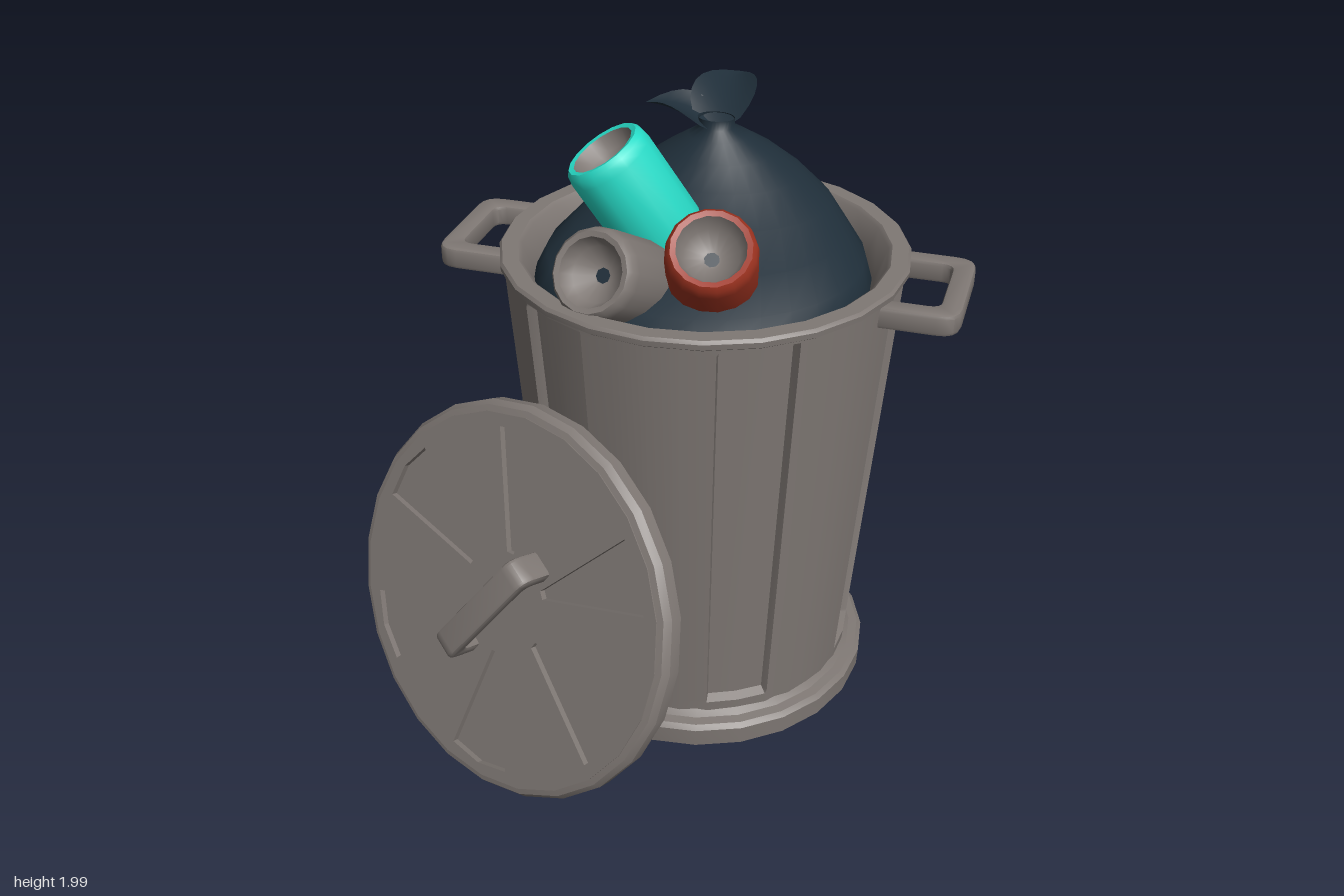
import * as THREE from 'three';
import { toCreasedNormals } from 'three/addons/utils/BufferGeometryUtils.js';

const material = (name, color) => Object.assign(new THREE.MeshStandardMaterial({ color }), { name });
const rad = THREE.MathUtils.degToRad;
const Y = new THREE.Vector3(0, 1, 0);
const Z = new THREE.Vector3(0, 0, 1);

function add(parent, name, geometry, mat) {
  const mesh = new THREE.Mesh(geometry, mat);
  mesh.name = name;
  parent.add(mesh);
  return mesh;
}

function lathe(points, sides, crease = 35) {
  const g = new THREE.LatheGeometry(points.map(p => new THREE.Vector2(...p)), sides);
  return toCreasedNormals(g, rad(crease));
}

// Grid of quads; fn(column, row) returns a point
function surface(cols, rows, fn, crease) {
  const pos = [], index = [];
  for (let j = 0; j <= rows; j++) for (let i = 0; i <= cols; i++) pos.push(...fn(i, j));
  for (let j = 0; j < rows; j++) for (let i = 0; i < cols; i++) {
    const a = j * (cols + 1) + i, d = a + cols + 1;
    index.push(a, a + 1, d + 1, a, d + 1, d);
  }
  const g = new THREE.BufferGeometry();
  g.setAttribute('position', new THREE.Float32BufferAttribute(pos, 3));
  g.setIndex(index);
  return toCreasedNormals(g, rad(crease));
}

// U-shaped grip in the xy plane, legs ending at y = 0, centred on z
function bracket(w, h, t, depth, corner) {
  const s = new THREE.Shape(), o = w / 2, i = o - t, c = corner, k = corner * 0.5;
  s.moveTo(-o, 0);
  s.lineTo(-i, 0);
  s.lineTo(-i, h - t - k);
  s.quadraticCurveTo(-i, h - t, -i + k, h - t);
  s.lineTo(i - k, h - t);
  s.quadraticCurveTo(i, h - t, i, h - t - k);
  s.lineTo(i, 0);
  s.lineTo(o, 0);
  s.lineTo(o, h - c);
  s.quadraticCurveTo(o, h, o - c, h);
  s.lineTo(-o + c, h);
  s.quadraticCurveTo(-o, h, -o, h - c);
  const b = 0.012;
  const g = new THREE.ExtrudeGeometry(s, {
    depth: depth - 2 * b, bevelSize: b, bevelThickness: b, bevelOffset: -b, bevelSegments: 2, curveSegments: 4,
  });
  g.translate(0, 0, b - depth / 2);
  return toCreasedNormals(g, rad(35)).rotateX(Math.PI / 2);
}

export function createModel() {
  const metal = material('grey metal', 0x7f7874);
  const plastic = material('dark bag plastic', 0x1f2e39);
  const teal = material('teal paint', 0x27dcc8);
  const red = material('red paint', 0x9e3320);
  const blue = material('blue label', 0x6c9ae6);
  const gold = material('gold label', 0xb98c2c);
  plastic.side = blue.side = gold.side = THREE.DoubleSide;

  const model = new THREE.Group();
  model.name = 'trashCan';
  const bin = new THREE.Group();
  bin.name = 'bin';
  bin.position.set(0.09, 0, -0.235);
  model.add(bin);

  // Tapered wall with six recessed panels
  const offsets = [-30, -21, -11.3, -10.6, 0, 10.6, 11.3, 21];
  const heights = [0.08, 0.15, 0.165, 1.54, 1.555, 1.57];
  const wall = surface(48, heights.length - 1, (i, j) => {
    const k = i % 8, a = rad(30 + 60 * Math.floor(i / 8) + offsets[k]), y = heights[j];
    const inside = k > 2 && k < 6 && (j === 2 || j === 3);
    const r = 0.53 + 0.072 * (y - 0.08) - (inside ? 0.03 : 0);
    return [r * Math.sin(a), y, r * Math.cos(a)];
  }, 32);
  add(bin, 'wall', wall, metal);

  add(bin, 'rimAndLining', lathe([[0.63, 1.555], [0.648, 1.567], [0.65, 1.585], [0.642, 1.595],
    [0.59, 1.595], [0.578, 1.585], [0.54, 1.48], [0.52, 1.2], [0, 1.2]], 24), metal);
  add(bin, 'baseRing', lathe([[0, 0], [0.58, 0], [0.592, 0.01], [0.595, 0.075], [0.58, 0.09],
    [0.55, 0.095], [0.53, 0.12]], 24), metal);
  for (const side of [-1, 1]) {
    const grip = add(bin, side > 0 ? 'leftHandle' : 'rightHandle', bracket(0.425, 0.255, 0.068, 0.07, 0.07), metal);
    grip.rotation.y = side * Math.PI / 2;
    grip.position.set(side * 0.58, 1.525, 0);
  }

  // Stuffed bag: rings of [y, centre z, radius x, radius z]
  const rings = [[1.3, -0.24, 0.52, 0.52], [1.49, -0.245, 0.537, 0.537], [1.55, -0.29, 0.51, 0.49],
    [1.61, -0.365, 0.445, 0.405], [1.68, -0.445, 0.37, 0.31], [1.75, -0.49, 0.27, 0.23],
    [1.81, -0.5, 0.18, 0.16], [1.86, -0.49, 0.1, 0.095], [1.89, -0.48, 0.055, 0.055], [1.92, -0.475, 0.06, 0.045]];
  add(model, 'bag', surface(32, rings.length - 1, (i, j) => {
    const a = (i / 32) * Math.PI * 2, [y, cz, rx, rz] = rings[j];
    return [0.085 - 0.03 * j / 9 + rx * Math.sin(a), y, cz + rz * Math.cos(a)];
  }, 80), plastic);

  // Two curled ears of the knot
  function ear(name, from, mid, to, half) {
    const path = new THREE.QuadraticBezierCurve3(...[from, mid, to].map(p => new THREE.Vector3(...p)));
    const across = new THREE.Vector3(to[2] - from[2], 0, from[0] - to[0]).normalize();
    add(model, name, surface(6, 8, (i, j) => {
      const t = j / 8, v = i / 3 - 1, p = path.getPoint(t);
      const w = 0.025 * (1 - t) + half * Math.sin(Math.PI * Math.pow(t, 0.85)) ** 0.7;
      p.addScaledVector(across, v * w);
      return [p.x, p.y + 0.035 * v * v * Math.sin(Math.PI * t), p.z];
    }, 80), plastic);
  }
  ear('backEar', [0.05, 1.88, -0.46], [0.05, 1.98, -0.6], [0.05, 1.965, -0.79], 0.09);
  ear('sideEar', [0.06, 1.88, -0.47], [-0.06, 1.95, -0.49], [-0.19, 1.93, -0.51], 0.07);

  // Empty tins: open end, axis pointing out of it, and a label facing a given direction
  function tin(name, top, axis, length, paint, label, facing, span, from, to) {
    const tinGroup = new THREE.Group();
    tinGroup.name = name;
    const dir = new THREE.Vector3(...axis).normalize();
    tinGroup.quaternion.setFromUnitVectors(Y, dir);
    tinGroup.position.set(...top).addScaledVector(dir, -length);
    model.add(tinGroup);
    const L = length;
    add(tinGroup, 'shell', lathe([[0, 0], [0.1, 0], [0.132, 0.03], [0.14, 0.06], [0.14, L - 0.045],
      [0.134, L - 0.015], [0.122, L], [0.105, L - 0.003]], 16, 50), paint);
    add(tinGroup, 'inside', lathe([[0.105, L - 0.003], [0.085, L - 0.05], [0.03, L - 0.085], [0, L - 0.085]], 16, 50), metal);
    const hole = add(tinGroup, 'opening', new THREE.CircleGeometry(0.024, 8), plastic);
    hole.rotation.x = -Math.PI / 2;
    hole.position.y = L - 0.082;
    const f = new THREE.Vector3(...facing).applyQuaternion(tinGroup.quaternion.clone().invert());
    const patch = new THREE.CylinderGeometry(0.144, 0.144, to - from, 8, 1, true,
      Math.atan2(f.x, f.z) - rad(span / 2), rad(span));
    add(tinGroup, 'label', patch, label).position.y = (from + to) / 2;
  }
  tin('tealTin', [-0.2, 1.925, -0.1], [-0.5, 0.84, 0.2], 0.4, teal, gold, [-0.35, -0.1, -1], 60, 0.1, 0.25);
  tin('greyTin', [-0.115, 1.7, 0.27], [-0.2, 0.5, 0.84], 0.4, metal, plastic, [-0.7, 0.8, 0], 70, 0.08, 0.22);
  tin('redTin', [0.212, 1.762, 0.14], [0.14, 0.74, 0.62], 0.38, red, blue, [-0.6, 0.4, -0.7], 60, 0.08, 0.25);

  // Lid leaning against the bin
  const lid = new THREE.Group();
  lid.name = 'lid';
  lid.position.set(-0.31, 0.655, 0.535);
  lid.quaternion.setFromUnitVectors(Z, new THREE.Vector3(-0.36, 0.3, 0.883).normalize());
  model.add(lid);
  add(lid, 'lidPlate', lathe([[0, -0.03], [0.54, -0.03], [0.56, -0.05], [0.62, -0.05], [0.638, -0.035],
    [0.64, 0.01], [0.625, 0.032], [0.6, 0.038], [0.59, 0.02], [0, 0.02]], 24).rotateX(Math.PI / 2), metal);

  // Raised face with six wedge-shaped recesses
  const polar = (r, a) => new THREE.Vector2(r * Math.cos(a), r * Math.sin(a));
  const face = new THREE.Shape(Array.from({ length: 24 }, (_, i) => polar(0.605, rad(15 * i))));
  for (let k = 0; k < 6; k++) {
    const a = rad(28 + 60 * k);
    face.holes.push(new THREE.Path([polar(0.17, a - 0.08), polar(0.17, a + 0.08),
      polar(0.56, a + 0.21), polar(0.57, a), polar(0.56, a - 0.21)]));
  }
  add(lid, 'lidFace', new THREE.ExtrudeGeometry(face, { depth: 0.02, bevelEnabled: false }).translate(0, 0, 0.02), metal);
  const lidGrip = add(lid, 'lidHandle', bracket(0.46, 0.13, 0.05, 0.09, 0.05), metal);
  lidGrip.rotation.z = rad(53);
  lidGrip.position.z = 0.03;

  return model;
}
